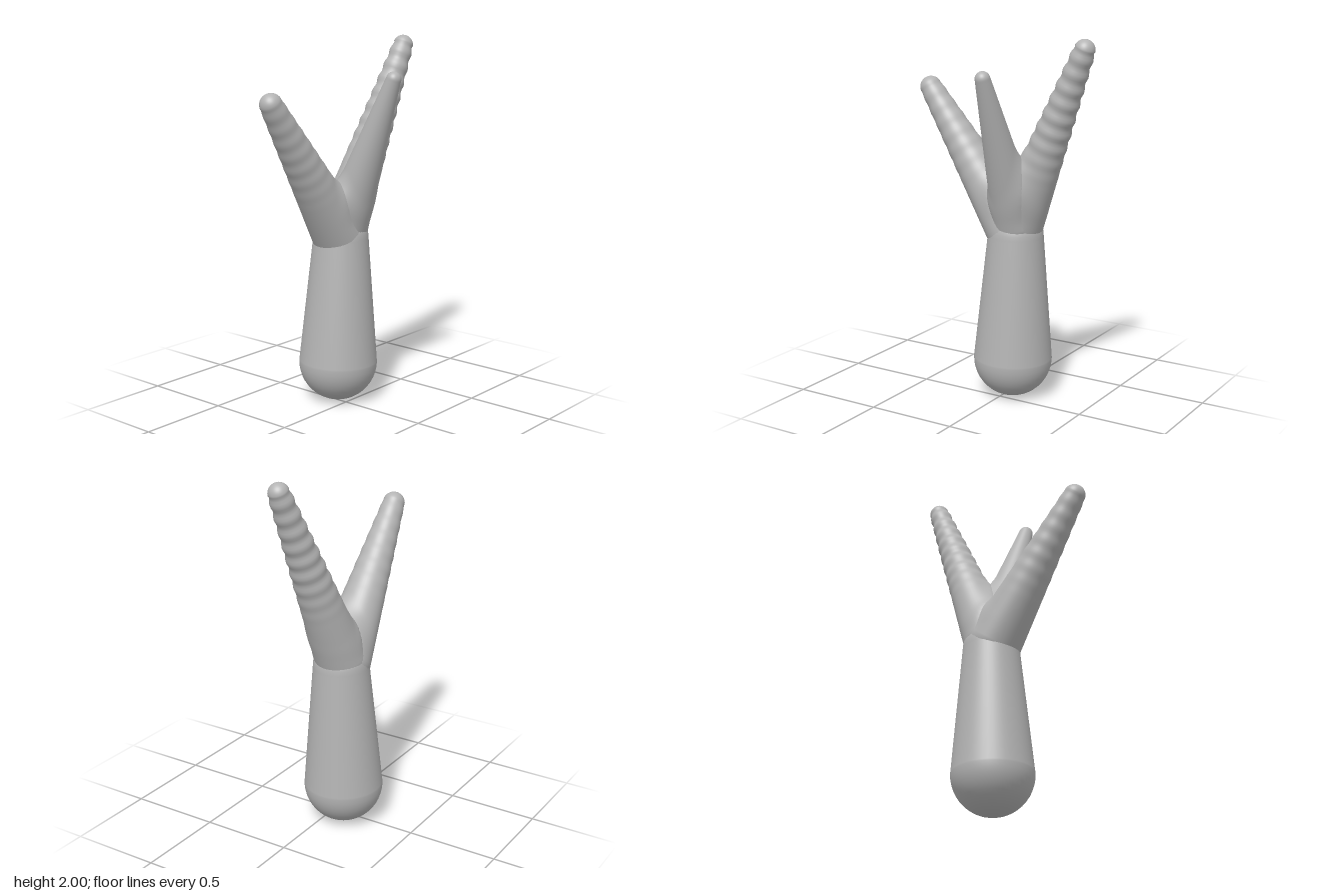
import * as THREE from 'three';
import { mergeVertices } from 'three/addons/utils/BufferGeometryUtils.js';

const V = (x, y, z) => new THREE.Vector3(x, y, z);

// each limb is a tapered capsule from a (radius ra) to b (radius rb)
const trunk = { name: 'trunk', a: V(0.033, 0.218, -0.085), b: V(0.052, 0.92, -0.08), ra: 0.217, rb: 0.152, ripple: 0 };
const branches = [
  { name: 'leftBranch', a: V(0.06, 0.97, -0.083), b: V(0.495, 1.945, -0.004), ra: 0.14, rb: 0.055, ripple: 0.004 },
  { name: 'rightBranch', a: V(0.03, 0.95, -0.083), b: V(-0.492, 1.69, -0.075), ra: 0.148, rb: 0.06, ripple: 0.0015 },
  { name: 'frontBranch', a: V(0.065, 1.0, -0.06), b: V(0.063, 1.8, 0.268), ra: 0.13, rb: 0.04, ripple: 0 },
];

// approximate signed distance from p to a limb
function distanceTo(limb, p) {
  const axis = limb.b.clone().sub(limb.a);
  const t = THREE.MathUtils.clamp(p.clone().sub(limb.a).dot(axis) / axis.lengthSq(), 0, 1);
  return p.distanceTo(limb.a.clone().addScaledVector(axis, t)) - THREE.MathUtils.lerp(limb.ra, limb.rb, t);
}

function limbGeometry({ a, b, ra, rb, ripple }) {
  const axis = b.clone().sub(a);
  const length = axis.length();
  const points = [];
  // rounded foot
  for (let i = 0; i < 12; i++) {
    const u = -Math.PI / 2 + (i / 12) * Math.PI / 2;
    points.push(new THREE.Vector2(i ? ra * Math.cos(u) : 0, ra * Math.sin(u)));
  }
  // tapered shaft, with soft rings growing toward the tip
  const steps = 72;
  for (let i = 0; i <= steps; i++) {
    const t = i / steps;
    const swell = ripple * Math.sin(t * length * 75) * THREE.MathUtils.smoothstep(t, 0.25, 0.6);
    points.push(new THREE.Vector2(THREE.MathUtils.lerp(ra, rb, t) + swell, t * length));
  }
  // rounded tip
  for (let i = 1; i <= 10; i++) {
    const u = (i / 10) * Math.PI / 2;
    points.push(new THREE.Vector2(i < 10 ? rb * Math.cos(u) : 0, length + rb * Math.sin(u)));
  }
  let geometry = new THREE.LatheGeometry(points, 48);
  geometry.deleteAttribute('uv');
  geometry.deleteAttribute('normal');
  geometry = mergeVertices(geometry, 1e-5);
  geometry.applyQuaternion(new THREE.Quaternion().setFromUnitVectors(V(0, 1, 0), axis.normalize()));
  geometry.translate(a.x, a.y, a.z);
  geometry.computeVertexNormals();
  return geometry;
}

// swell a branch where it meets its neighbours, so the forks flow together
function blendForks(geometry, limb) {
  const k = 0.08;
  const pos = geometry.attributes.position;
  const normal = geometry.attributes.normal;
  const p = V(0, 0, 0), n = V(0, 0, 0);
  for (let i = 0; i < pos.count; i++) {
    p.fromBufferAttribute(pos, i);
    n.fromBufferAttribute(normal, i);
    let swell = 0;
    for (const other of branches) {
      if (other === limb) continue;
      const h = Math.max(k - Math.abs(distanceTo(other, p)), 0) / k;
      swell = Math.max(swell, h * h * k / 4);
    }
    p.addScaledVector(n, swell * THREE.MathUtils.smoothstep(p.y, 1.0, 1.2));
    pos.setXYZ(i, p.x, p.y, p.z);
  }
  geometry.computeVertexNormals();
}

export function createModel() {
  const group = new THREE.Group();
  group.name = 'forkedTrunk';
  const grey = new THREE.MeshStandardMaterial({ color: 0xb4b4b4 });
  grey.name = 'plain grey';
  for (const limb of [trunk, ...branches]) {
    const geometry = limbGeometry(limb);
    if (limb !== trunk) blendForks(geometry, limb);
    const mesh = new THREE.Mesh(geometry, grey);
    mesh.name = limb.name;
    group.add(mesh);
  }
  return group;
}
